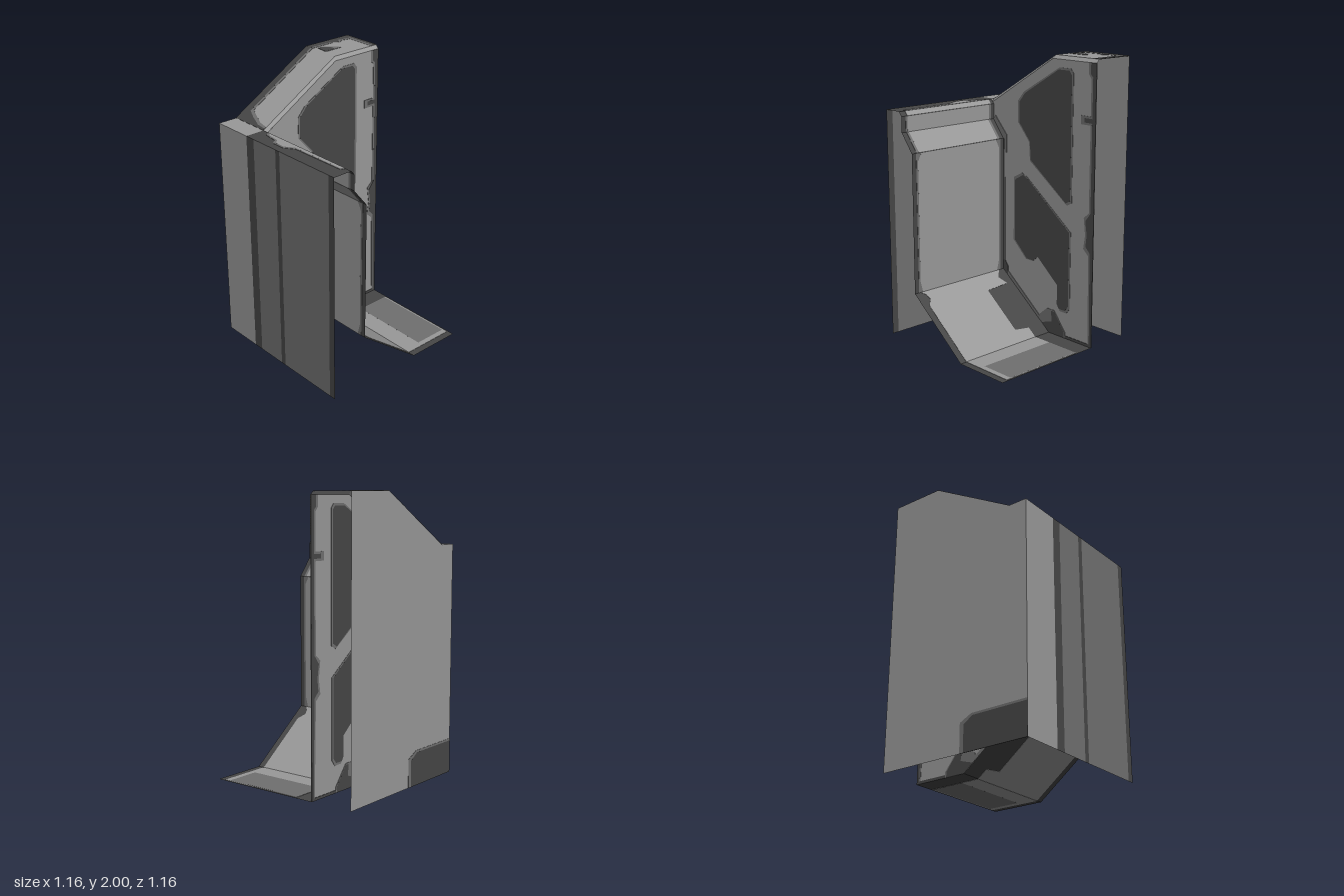
import * as THREE from 'three';

const paint = (name, color) => {
  const m = new THREE.MeshStandardMaterial({ color, side: THREE.DoubleSide });
  m.name = name;
  return m;
};

export function createModel() {
  const light = paint('light grey', 0x999999);
  const mid = paint('mid grey', 0x707070);
  const dark = paint('dark grey', 0x464646);
  const model = new THREE.Group();
  const V = (x, y, z) => new THREE.Vector3(x, y, z);
  const rect = (a, b, c, d) => [[a, b], [c, b], [c, d], [a, d]];
  const toShape = (pts) => new THREE.Shape(pts.map((p) => new THREE.Vector2(...p)));

  // Shrinks an outline about the middle of its bounding box
  function inset(pts, margin) {
    const box = new THREE.Box2().setFromPoints(pts.map((p) => new THREE.Vector2(...p)));
    const c = box.getCenter(new THREE.Vector2());
    const s = box.getSize(new THREE.Vector2());
    return pts.map(([u, v]) => [
      c.x + (u - c.x) * (1 - (2 * margin) / s.x),
      c.y + (v - c.y) * (1 - (2 * margin) / s.y),
    ]);
  }

  // A flat sheet in the plane (origin, u, v); marks are thin plates showing on both sides
  function panel(name, origin, u, v, outline, material, marks = []) {
    const group = new THREE.Group();
    group.name = name;
    const n = u.clone().cross(v).normalize();
    const matrix = new THREE.Matrix4().makeBasis(u, v, n).setPosition(origin);
    const add = (geometry, mat, label) => {
      const mesh = new THREE.Mesh(geometry.applyMatrix4(matrix), mat);
      mesh.name = label;
      group.add(mesh);
    };
    add(new THREE.ShapeGeometry(toShape(outline)), material, name + 'Sheet');
    marks.forEach(([pts, mat], i) => {
      const depth = 0.004 + 0.0003 * i;
      const g = new THREE.ExtrudeGeometry(toShape(pts), { depth, bevelEnabled: false });
      add(g.translate(0, 0, -depth / 2), mat, name + 'Mark');
    });
    model.add(group);
  }

  const O = V(0, 0, 0), X = V(1, 0, 0), Y = V(0, 1, 0), Z = V(0, 0, 1);
  const E = 0.58, IN = -0.26, BEV = -0.28, H = 1.63;

  // Front wall, in vertical bands
  [[-E, BEV, light], [BEV, -0.205, dark], [-0.205, 0.02, mid],
    [0.02, 0.06, dark], [0.06, 0.53, mid], [0.53, E, dark]]
    .forEach(([a, b, m]) => panel('frontBand', V(0, 0, E), X, Y, rect(a, 0, b, H), m));

  // Outer side wall
  panel('outerSide', V(-E, 0, 0), Z, Y,
    [[-E, 0], [E, 0], [E, H], [0.44, H], [-0.19, 2], [-E, 2]], light, [
      [[[0.06, 0], [E, 0], [E, 0.245], [0.15, 0.245], [0.06, 0.2]], mid],
      [[[0.09, 0], [E, 0], [E, 0.23], [0.16, 0.23], [0.09, 0.185]], dark],
    ]);

  // Inner side wall with two recess-like patches and worn edges
  const upper = [[-0.245, 1.92], [-0.35, 1.92], [-0.375, 1.89], [-0.375, 1.0], [-0.33, 0.975],
    [0.035, 1.235], [0.045, 1.37], [0.16, 1.5], [0.16, 1.65], [0.1, 1.72]];
  const lower = [[0.115, 1.135], [0.06, 1.11], [-0.37, 0.79], [-0.37, 0.23], [-0.34, 0.19],
    [-0.275, 0.19], [-0.255, 0.22], [-0.255, 0.37], [-0.05, 0.54], [0, 0.5], [0.07, 0.5],
    [0.2, 0.62], [0.2, 1.09]];
  panel('innerSide', V(IN, 0, 0), Z, Y,
    [[-E, 0], [-0.17, 0], [0.31, 0.37], [0.31, 1.36], [0.415, 1.49], [0.415, 1.6], [0.43, 1.61],
      [-0.18, 1.975], [-E, 1.975]], light, [
      [upper, mid], [inset(upper, 0.015), dark],
      [lower, mid], [inset(lower, 0.015), dark],
      [[[-E, 0], [-0.55, 0], [-0.535, 0.66], [-0.49, 0.7], [-0.505, 0.8], [-0.49, 0.92],
        [-0.535, 0.96], [-0.535, 1.87], [-0.51, 1.9], [-0.51, 1.975], [-E, 1.975]], mid],
      [[[-E, 0], [-0.56, 0], [-0.55, 0.68], [-0.51, 0.72], [-0.52, 0.8], [-0.505, 0.9],
        [-0.55, 0.96], [-0.55, 1.88], [-0.53, 1.9], [-0.53, 1.975], [-E, 1.975]], dark],
      [rect(-0.55, 1.56, -0.45, 1.62), mid], [rect(-0.55, 1.575, -0.48, 1.605), dark],
      [rect(-E, 0, -0.33, 0.02), dark],
      [[[-0.17, 0], [-0.07, 0.08], [-0.08, 0.12], [-0.15, 0.18], [-0.22, 0.18], [-0.33, 0.04],
        [-0.33, 0]], mid],
      [[[-0.17, 0], [-0.1, 0.06], [-0.2, 0.09], [-0.19, 0.17], [-0.22, 0.17], [-0.32, 0.04],
        [-0.32, 0]], dark],
      [[[0.31, 0.37], [-0.08, 0.07], [-0.08, 0.1], [0.29, 0.39], [0.295, 1.36], [0.31, 1.36]], mid],
      [[[0.31, 0.37], [0.26, 0.34], [0.26, 0.4], [0.29, 0.44], [0.31, 0.44]], dark],
      [[[0.31, 1.25], [0.275, 1.26], [0.275, 1.39], [0.395, 1.52], [0.415, 1.49], [0.31, 1.36]], mid],
      [rect(0.29, 1.28, 0.31, 1.36), dark],
    ]);

  // Tower top and sloping roof
  panel('towerTop', V(0, 2, 0), X, Z, rect(-E, -E, BEV, -0.19), light, [
    [[[-E, -E], [BEV, -E], [BEV, -0.53], [-0.5, -0.53], [-0.515, -0.46], [-0.48, -0.42],
      [-0.515, -0.38], [-0.51, -0.19], [-E, -0.19]], mid],
    [[[-E, -E], [BEV, -E], [BEV, -0.55], [-0.52, -0.55], [-0.535, -0.45], [-0.5, -0.42],
      [-0.53, -0.38], [-0.53, -0.19], [-E, -0.19]], dark],
    [[[-0.49, -0.22], [-0.49, -0.26], [-0.42, -0.35], [-0.395, -0.35], [-0.395, -0.21]], mid],
    [[[-0.49, -0.22], [-0.49, -0.25], [-0.44, -0.3], [-0.4, -0.3], [-0.4, -0.21]], dark],
  ]);
  panel('towerRoof', V(0, 2, -0.19), X, V(0, H - 2, 0.63), rect(-E, 0, BEV, 1), light, [
    [[[-E, 0], [-0.51, 0], [-0.5, 0.85], [-0.44, 0.89], [-0.36, 0.94], [BEV, 0.96], [BEV, 1],
      [-E, 1]], mid],
    [[[-E, 0], [-0.53, 0], [-0.52, 0.87], [-0.45, 0.92], [-0.36, 0.97], [BEV, 0.98], [BEV, 1],
      [-E, 1]], dark],
  ]);
  panel('towerFrontLedge', V(0, H, 0), X, Z, rect(-E, 0.44, BEV, E), light);

  // Narrow bevel along the tower's inner upper edge
  const bevel = [[-E, 2, 1.975], [-0.19, 2, 1.975], [0.44, H, 1.61]];
  for (let i = 0; i < 2; i++) {
    const [z0, y0, w0] = bevel[i], [z1, y1] = bevel[i + 1];
    panel('towerBevel', V(BEV, y0, z0), V(IN - BEV, w0 - y0, 0), V(0, y1 - y0, z1 - z0),
      rect(0, 0, 1, 1), light);
  }

  // Folded sheet behind the front wall: floor, ramp, upright, lip and top ledge
  const W = (a, b, c, d, m) => [rect(a, b, c, d), m];
  const fold = [[-E, 0], [-0.17, 0], [0.31, 0.37], [0.31, 1.36], [0.415, 1.49], [0.415, 1.6],
    [0.44, H], [E, H]];
  const names = ['floor', 'ramp', 'upright', 'lipSlope', 'lip', 'lipEdge', 'topLedge'];
  const marks = [
    [W(-0.12, 0.03, 0.53, 1, light), W(-0.12, 0.05, 0.49, 0.66, mid)],
    [[[[-0.12, 0], [0.53, 0], [0.53, 0.8], [0.49, 0.88], [0.5, 0.95], [0.53, 1], [-0.21, 1],
      [-0.16, 0.9], [-0.2, 0.79], [0, 0.77], [0, 0.17], [-0.12, 0.14]], light]],
    [W(-0.225, 0, 0.545, 1, mid),
      [[[-0.19, 0], [0.51, 0], [0.53, 0.08], [0.53, 0.94], [0.5, 1], [-0.18, 1], [-0.21, 0.94],
        [-0.21, 0.08]], light]],
    [W(-0.22, 0, 0.54, 1, mid), W(-0.2, 0, 0.52, 1, light)],
    [W(-0.23, 0, 0.545, 1, mid), W(-0.21, 0, 0.53, 1, light)],
    [W(-0.23, 0, 0.53, 1, light)],
    [[[[-0.23, 0], [0.53, 0], [0.52, 0.25], [0.1, 0.28], [0.03, 0.62], [-0.07, 0.62],
      [-0.1, 0.35], [-0.2, 0.25]], mid],
    [[[-0.22, 0], [0.52, 0], [0.5, 0.18], [0.08, 0.2], [0.02, 0.5], [-0.06, 0.5],
      [-0.09, 0.25], [-0.18, 0.18]], light]],
  ];
  names.forEach((name, i) => {
    const [z0, y0] = fold[i], [z1, y1] = fold[i + 1];
    const left = i === 6 ? BEV : IN;
    panel(name, V(0, y0, z0), X, V(0, y1 - y0, z1 - z0), rect(left, 0, E, 1), dark, marks[i]);
  });

  return model;
}
